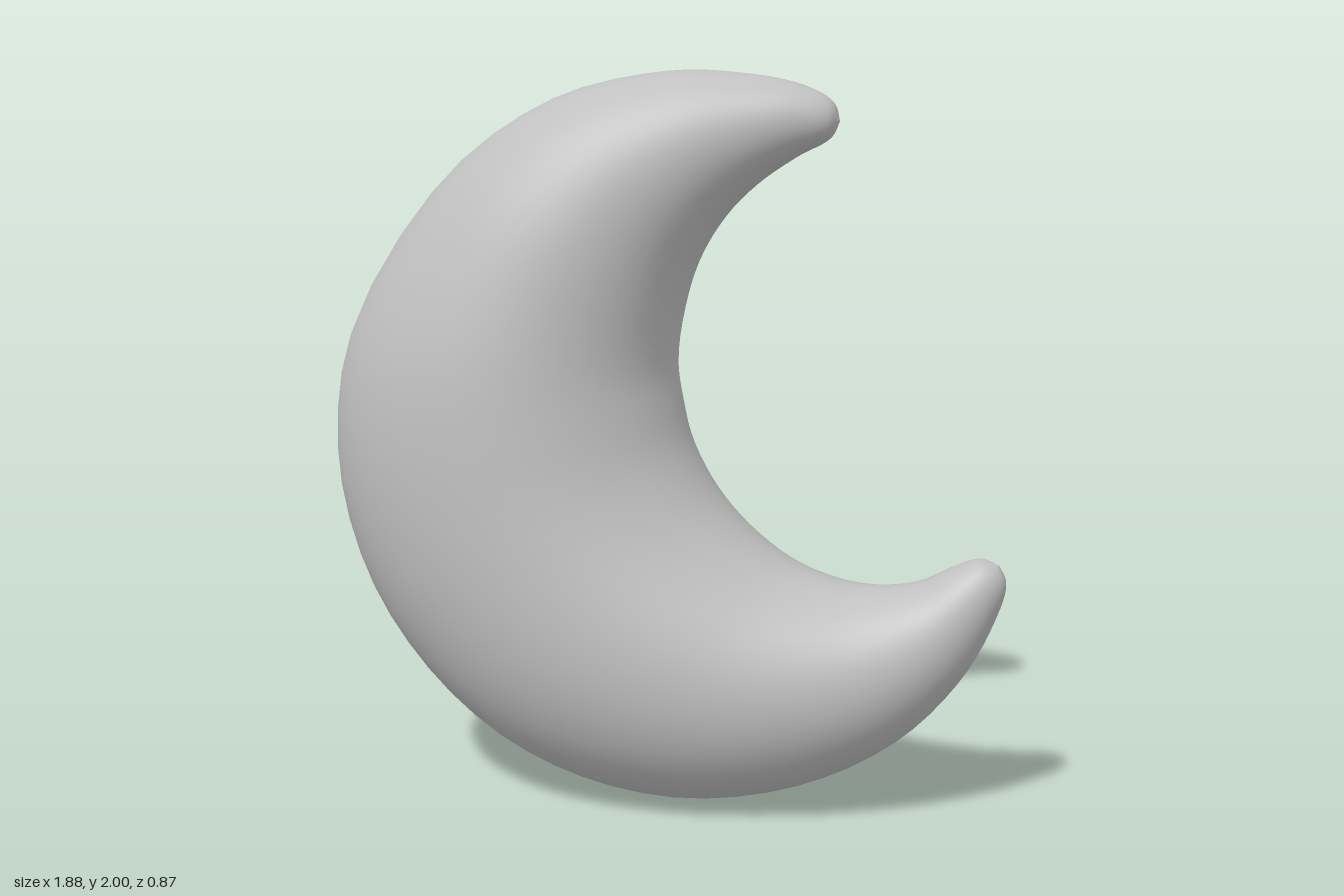
import * as THREE from 'three';
import { mergeVertices } from 'three/addons/utils/BufferGeometryUtils.js';

// Matching stations along the outer and inner edges, from upper tip to lower tip
const OUTER = [
  [0.475, 1.87], [0.455, 1.92], [0.37, 1.965], [0.2, 1.995], [0, 1.998], [-0.3, 1.93], [-0.6, 1.73],
  [-0.89, 1.3], [-0.943, 0.94], [-0.865, 0.61], [-0.7, 0.35], [-0.47, 0.15], [-0.2, 0.035], [0.1, 0.003],
  [0.4, 0.065], [0.65, 0.2], [0.82, 0.38], [0.91, 0.55], [0.94, 0.66], [0.92, 0.712],
];
const INNER = [
  [0.475, 1.87], [0.45, 1.825], [0.36, 1.775], [0.25, 1.7], [0.16, 1.61], [0.08, 1.48], [0.035, 1.33],
  [0.02, 1.2], [0.035, 1.1], [0.06, 1.0], [0.11, 0.9], [0.17, 0.82], [0.25, 0.745], [0.35, 0.68],
  [0.47, 0.64], [0.58, 0.63], [0.7, 0.65], [0.8, 0.7], [0.865, 0.725], [0.92, 0.712],
];

const spline = (pts) => new THREE.CatmullRomCurve3(pts.map(([x, y]) => new THREE.Vector3(x, y, 0)));

// Loft of oval sections spanning the two edges
function crescentGeometry(rings = 96, sides = 48) {
  const outer = spline(OUTER), inner = spline(INNER);
  const positions = [], indices = [];
  for (let i = 0; i <= rings; i++) {
    // Rings crowd together toward the rounded tips
    const t = (1 - Math.cos((Math.PI * i) / rings)) / 2;
    const o = outer.getPoint(t), n = inner.getPoint(t);
    const centre = o.clone().add(n).multiplyScalar(0.5);
    const arm = o.clone().sub(centre);
    const half = arm.length();
    const depth = half * (1 - 0.13 * (half / 0.5) ** 4); // round horns, slightly flattened belly
    for (let j = 0; j < sides; j++) {
      const a = (j / sides) * Math.PI * 2, c = Math.cos(a);
      positions.push(centre.x + arm.x * c, centre.y + arm.y * c, depth * Math.sin(a));
      if (i === rings) continue;
      const k = (j + 1) % sides;
      const p = i * sides + j, q = i * sides + k;
      if (i < rings - 1) indices.push(p + sides, q + sides, q);
      if (i > 0) indices.push(p, p + sides, q);
    }
  }
  const geometry = new THREE.BufferGeometry();
  geometry.setAttribute('position', new THREE.Float32BufferAttribute(positions, 3));
  geometry.setIndex(indices);
  const merged = mergeVertices(geometry, 1e-5); // joins each tip into one point
  merged.computeVertexNormals();
  return merged;
}

export function createModel() {
  const group = new THREE.Group();
  group.name = 'crescentMoon';
  const grey = new THREE.MeshStandardMaterial({ color: 0xc0c0c0 });
  grey.name = 'lightGrey';
  const moon = new THREE.Mesh(crescentGeometry(), grey);
  moon.name = 'crescentBody';
  group.add(moon);
  return group;
}
